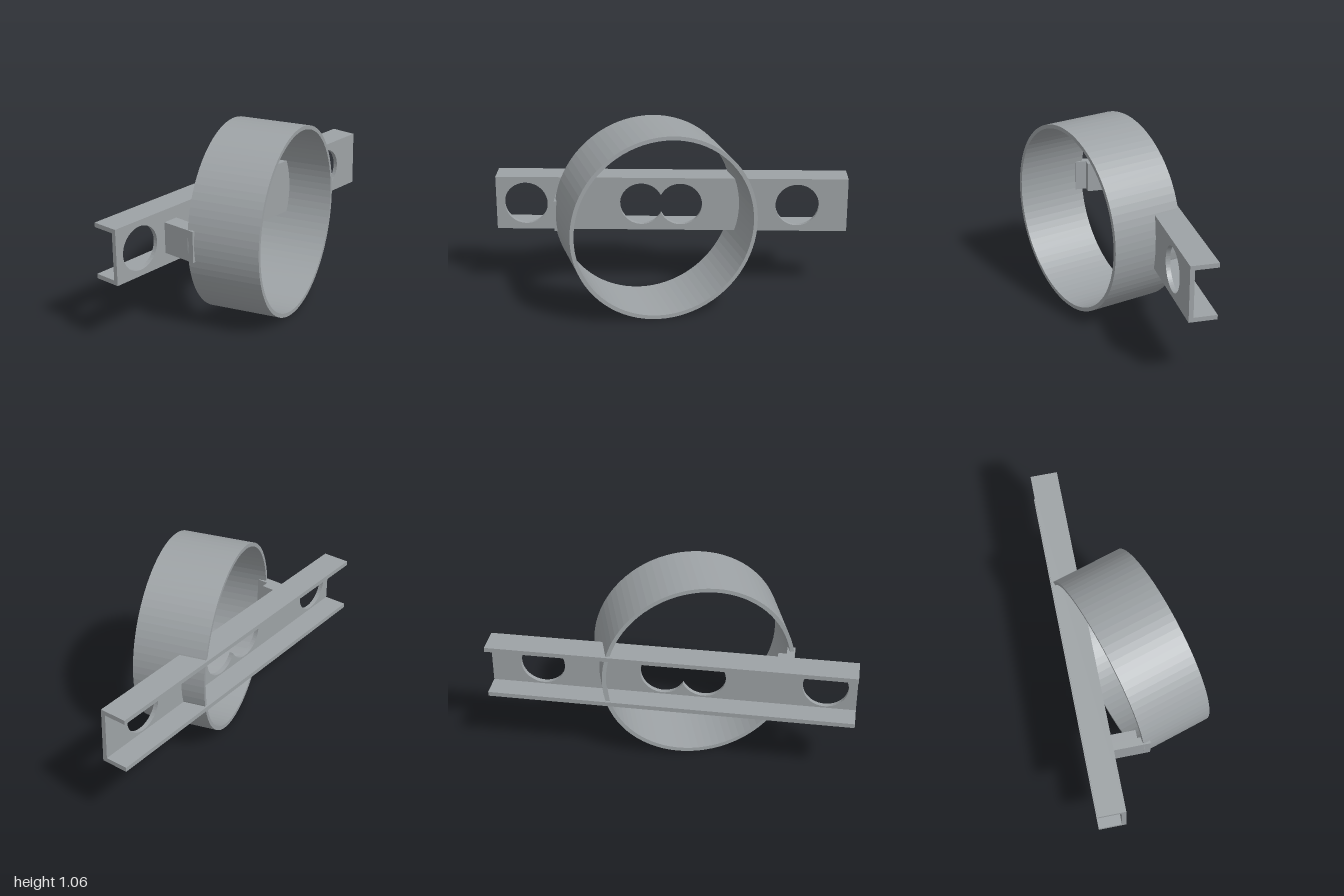
import * as THREE from 'three';

export function createModel() {
  const model = new THREE.Group();
  const grey = new THREE.MeshStandardMaterial({ color: 0x9da2a5 });
  grey.name = 'plain grey';

  const MID = 0.53;               // height of the shared centre line
  const FRONT = -0.203, BACK = -0.355; // channel front and open back
  const WALL = 0.025;
  const HALF = 0.157;             // half height of the channel

  function add(parent, name, geometry, x = 0, y = 0, z = 0) {
    const mesh = new THREE.Mesh(geometry, grey);
    mesh.name = name;
    mesh.position.set(x, y, z);
    parent.add(mesh);
    return mesh;
  }
  function block(parent, name, x0, x1, y0, y1, z0, z1) {
    return add(parent, name, new THREE.BoxGeometry(x1 - x0, y1 - y0, z1 - z0),
      (x0 + x1) / 2, (y0 + y1) / 2, (z0 + z1) / 2);
  }

  // Mounting channel: pierced web with a flange along each long edge
  const channel = new THREE.Group();
  channel.name = 'mountingChannel';
  model.add(channel);

  const r = 0.123;
  const web = new THREE.Shape();
  const inner = HALF - WALL;
  web.moveTo(-1, -inner).lineTo(1, -inner).lineTo(1, inner).lineTo(-1, inner).closePath();
  for (const x of [-0.83, 0.715]) {
    web.holes.push(new THREE.Path().absarc(x, 0, r, 0, Math.PI * 2, true));
  }
  // Two overlapping circles joined into one slot
  const cx = -0.06, d = 0.111, a = Math.acos(d / r);
  const slot = new THREE.Path();
  slot.absarc(cx - d, 0, r, a, Math.PI * 2 - a, false);
  slot.absarc(cx + d, 0, r, Math.PI + a, Math.PI - a, false);
  slot.closePath();
  web.holes.push(slot);
  add(channel, 'web', new THREE.ExtrudeGeometry(web,
    { depth: WALL, bevelEnabled: false, curveSegments: 24 }), 0, MID, FRONT - WALL);
  block(channel, 'topFlange', -1, 1, MID + inner, MID + HALF, BACK, FRONT);
  block(channel, 'bottomFlange', -1, 1, MID - HALF, MID - inner, BACK, FRONT);

  // Tilted open ring
  const R = 0.53, depth = 0.405;
  const band = new THREE.Shape().absarc(0, 0, R, 0, Math.PI * 2, false);
  band.holes.push(new THREE.Path().absarc(0, 0, R - 0.022, 0, Math.PI * 2, true));
  const ringGeometry = new THREE.ExtrudeGeometry(band,
    { depth, bevelEnabled: false, curveSegments: 40 });
  ringGeometry.translate(0, 0, -depth / 2);
  const ring = add(model, 'ring', ringGeometry, -0.084, MID, 0);
  ring.rotation.y = THREE.MathUtils.degToRad(17.3);

  // Stepped spacer holding the far side of the ring off the channel
  const spacer = new THREE.Group();
  spacer.name = 'spacer';
  model.add(spacer);
  block(spacer, 'spacerOuter', -0.648, -0.605, MID - 0.088, MID + 0.088, FRONT, 0);
  block(spacer, 'spacerInner', -0.605, -0.56, MID - 0.088, MID + 0.088, FRONT, -0.065);

  return model;
}
